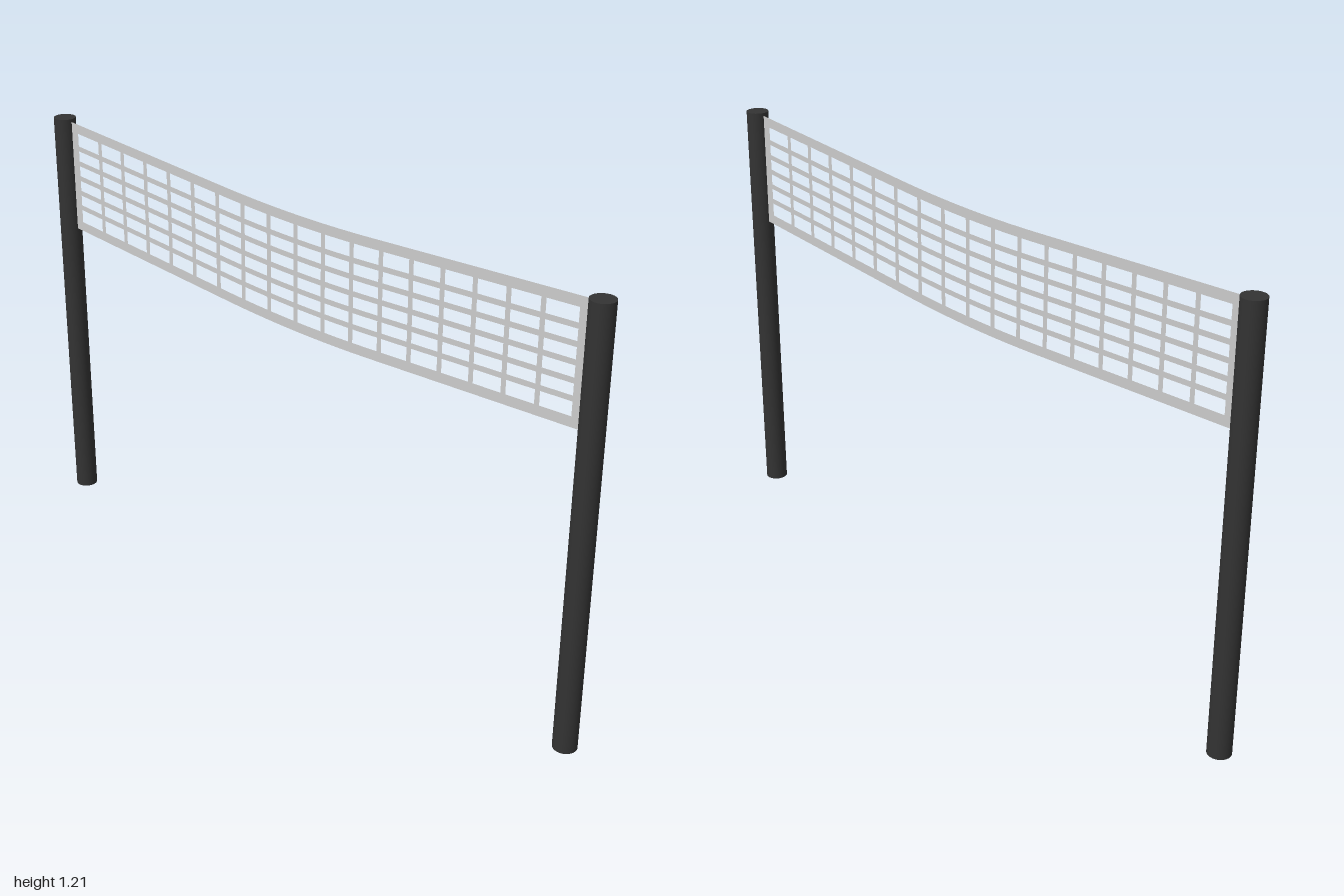
import * as THREE from 'three';

const POLE_R = 0.032, POLE_H = 1.213, POLE_Z = 0.968;
const HALF = 0.936;              // half length of the net
const TOP = 1.16, BOTTOM = 0.832; // net edges at mid-span
const BAND = 0.028, CORD = 0.015;
const COLS = 18, ROWS = 6;

// Rise above mid-span: a soft curve in the middle, straight towards the poles
function rise(z) {
  const a = Math.abs(z), bend = 0.27, slope = 0.0556;
  return a < bend ? slope * a * a / (2 * bend) : slope * (a - bend / 2);
}

export function createModel() {
  const model = new THREE.Group();
  const poleMat = new THREE.MeshStandardMaterial({ color: 0x333333 });
  const netMat = new THREE.MeshStandardMaterial({ color: 0xcccccc, side: THREE.DoubleSide });

  // Poles
  for (const side of [1, -1]) {
    const pole = new THREE.Mesh(new THREE.CylinderGeometry(POLE_R, POLE_R, POLE_H, 32), poleMat);
    pole.name = side > 0 ? 'frontPole' : 'backPole';
    pole.position.set(0, POLE_H / 2, side * POLE_Z);
    model.add(pole);
  }

  const net = new THREE.Group();
  net.name = 'net';
  model.add(net);

  // Flat strip in the x = 0 plane, bent to follow the sag
  function strip(name, z, y, length, height, segments) {
    const geo = new THREE.PlaneGeometry(length, height, segments, 1);
    geo.rotateY(Math.PI / 2).translate(0, y, z);
    const p = geo.attributes.position;
    for (let i = 0; i < p.count; i++) p.setY(i, p.getY(i) + rise(p.getZ(i)));
    const mesh = new THREE.Mesh(geo, netMat);
    mesh.name = name;
    net.add(mesh);
  }

  const midY = (TOP + BOTTOM) / 2;
  const innerH = TOP - BOTTOM - 2 * BAND, innerL = 2 * (HALF - BAND);

  // Border bands
  strip('topBand', 0, TOP - BAND / 2, 2 * HALF, BAND, 36);
  strip('bottomBand', 0, BOTTOM + BAND / 2, 2 * HALF, BAND, 36);
  for (const side of [1, -1])
    strip('endBand', side * (HALF - BAND / 2), midY, BAND, innerH, 1);

  // Mesh cords
  for (let r = 1; r < ROWS; r++)
    strip('horizontalCord', 0, BOTTOM + BAND + innerH * r / ROWS, innerL, CORD, 36);
  for (let c = 1; c < COLS; c++)
    strip('verticalCord', -innerL / 2 + innerL * c / COLS, midY, CORD, innerH, 1);

  return model;
}
